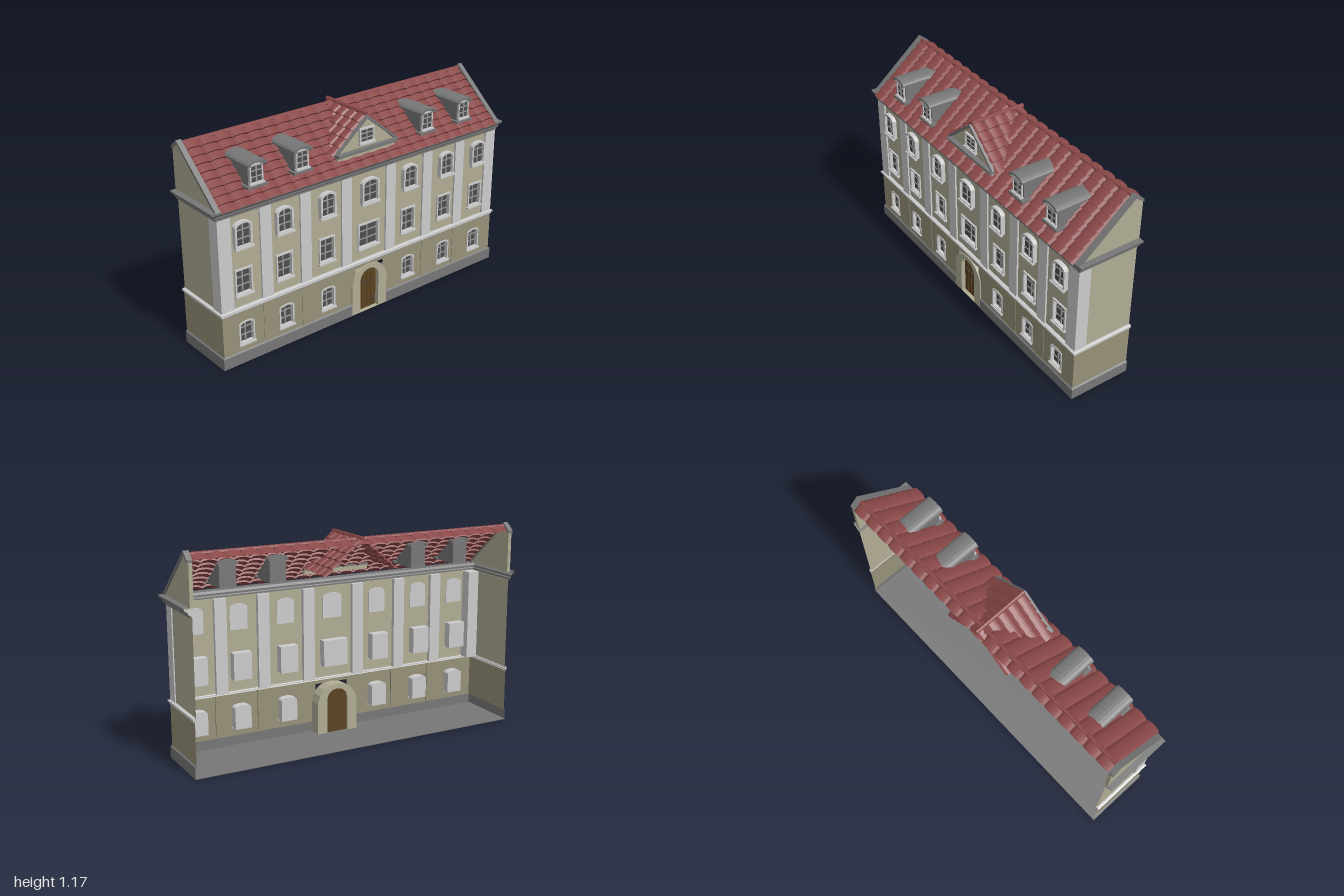
import * as THREE from 'three';

const mat = (color) => new THREE.MeshStandardMaterial({ color, side: THREE.DoubleSide, flatShading: true });
const M = {
  light: mat(0xcccccc), trim: mat(0x777777), dark: mat(0x4c4c4c), bar: mat(0x999999),
  wall: mat(0xb0ac94), base: mat(0x969179), red: mat(0x8a4848), door: mat(0x5c4322),
};
const BACK = -0.195, X = 0.963, Z = 0.163;
const COLS = [-0.82, -0.567, -0.289, 0, 0.289, 0.567, 0.82];
const PIERS = [0.155, 0.428, 0.678];

function add(parent, name, geo, material) {
  const m = new THREE.Mesh(geo, material);
  m.name = name;
  parent.add(m);
  return m;
}

// Box given by its limits
function box(parent, name, x0, x1, y0, y1, z0, z1, material) {
  const g = new THREE.BoxGeometry(x1 - x0, y1 - y0, z1 - z0);
  g.translate((x0 + x1) / 2, (y0 + y1) / 2, (z0 + z1) / 2);
  return add(parent, name, g, material);
}

// Rectangle with a curved head; rise 0 gives a plain rectangle
function arch(x, w, y0, y1, rise, Type = THREE.Shape) {
  const s = new Type(), h = w / 2;
  s.moveTo(x - h, y0);
  s.lineTo(x + h, y0);
  s.lineTo(x + h, y1 - rise);
  if (rise) s.bezierCurveTo(x + h * 0.85, y1 + rise * 0.05, x - h * 0.85, y1 + rise * 0.05, x - h, y1 - rise);
  else s.lineTo(x - h, y1);
  s.closePath();
  return s;
}

function extrude(shape, z0, z1) {
  return new THREE.ExtrudeGeometry(shape, { depth: z1 - z0, bevelEnabled: false, curveSegments: 8 }).translate(0, 0, z0);
}

function ring(x, w, y0, y1, rise, t) {
  const s = arch(x, w, y0, y1, rise);
  s.holes.push(arch(x, w - 2 * t, y0 + t, y1 - t, rise * 0.9, THREE.Path));
  return s;
}

// Profile of [outward, height] points swept round half of the front and one side
function band(parent, name, profile, material, x0 = 0, zScale = 1) {
  for (const s of [1, -1]) {
    const pos = [], idx = [];
    for (const [o, y] of profile) {
      const z = Z + o * zScale;
      pos.push(s * x0, y, z, s * (X + o), y, z, s * (X + o), y, BACK);
    }
    for (let i = 0; i < profile.length - 1; i++) for (let j = 0; j < 2; j++) {
      const a = i * 3 + j, b = a + 1, c = a + 3, d = a + 4;
      if (s > 0) idx.push(a, b, d, a, d, c);
      else idx.push(a, d, b, a, c, d);
    }
    const g = new THREE.BufferGeometry();
    g.setAttribute('position', new THREE.Float32BufferAttribute(pos, 3));
    g.setIndex(idx);
    g.computeVertexNormals();
    add(parent, name, g, material);
  }
}

// Overlapping rows of rounded tiles: across runs sideways, down runs down the slope
function tiles(parent, name, origin, across, down, width, length, cols, rows) {
  const n = cols * 6, pos = [], idx = [];
  for (let r = 0; r < rows; r++) for (let e = 0; e < 2; e++) for (let i = 0; i <= n; i++) {
    const wave = 0.012 * Math.sqrt(Math.abs(Math.sin(Math.PI * i / 6)));
    pos.push((i / n - 0.5) * width, wave + e * 0.011, (r + e) / rows * length);
  }
  for (let r = 0; r < rows * 2 - 1; r++) for (let i = 0; i < n; i++) {
    const a = r * (n + 1) + i, c = a + n + 1;
    idx.push(a, c, a + 1, a + 1, c, c + 1);
  }
  const g = new THREE.BufferGeometry();
  g.setAttribute('position', new THREE.Float32BufferAttribute(pos, 3));
  g.setIndex(idx);
  const A = new THREE.Vector3(...across), D = new THREE.Vector3(...down).normalize();
  const N = new THREE.Vector3().crossVectors(D, A);
  g.applyMatrix4(new THREE.Matrix4().makeBasis(A, N, D).setPosition(...origin));
  g.computeVertexNormals();
  add(parent, name, g, M.red);
}

// Framed window: frame from zIn to zOut, pane set back, glazing bars, sill
function windowUnit(parent, name, x, w, y0, y1, rise, zIn, zOut, zPane, t = 0.009) {
  const g = new THREE.Group();
  g.name = name;
  parent.add(g);
  add(g, 'frame', extrude(ring(x, w, y0, y1, rise, t), zIn, zOut), M.light);
  add(g, 'backPanel', new THREE.ShapeGeometry(arch(x, w, y0, y1, rise)).translate(0, 0, zIn), M.light);
  const iw = w - 2 * t;
  add(g, 'pane', extrude(arch(x, iw, y0 + t, y1 - t, rise * 0.9), zIn + 0.002, zPane), M.dark);
  box(g, 'mullion', x - 0.004, x + 0.004, y0 + t, y1 - t, zPane, zPane + 0.005, M.bar);
  for (const f of [0.33, 0.64]) {
    const y = y0 + (y1 - y0) * f;
    box(g, 'glazingBar', x - iw / 2, x + iw / 2, y - 0.003, y + 0.003, zPane, zPane + 0.004, M.bar);
  }
  box(g, 'sill', x - w / 2 - 0.004, x + w / 2 + 0.004, y0 - 0.005, y0 + 0.005, zOut - 0.01, zOut + 0.008, M.light);
}

function createModel() {
  const model = new THREE.Group();
  model.name = 'townHouse';

  // Floor plate and plinth, broken at the doorway
  box(model, 'floor', -0.97, 0.97, 0, 0.004, BACK, 0.13, M.trim);
  for (const s of [1, -1]) box(model, 'floorEdge', s > 0 ? 0.125 : -0.97, s > 0 ? 0.97 : -0.125, 0, 0.004, 0.13, 0.168, M.trim);
  band(model, 'plinth', [[0.008, 0], [0.008, 0.064], [0, 0.07]], M.trim, 0.125);

  // Ground floor wall with window openings and door notch
  const lower = new THREE.Shape([[-X, 0.06], [-0.1, 0.06], [-0.1, 0.28], [0.1, 0.28], [0.1, 0.06], [X, 0.06], [X, 0.3], [-X, 0.3]]
    .map(p => new THREE.Vector2(...p)));
  const upper = arch(0, 2 * X, 0.32, 0.845, 0);
  for (const x of COLS) {
    const mid = x === 0;
    if (!mid) {
      lower.holes.push(arch(x, 0.088, 0.112, 0.243, 0.02, THREE.Path));
      windowUnit(model, 'groundWindow', x, 0.095, 0.108, 0.247, 0.02, 0.115, 0.167, 0.145);
    }
    const w = mid ? 0.15 : 0.105;
    upper.holes.push(arch(x, w - 0.006, 0.393, 0.537, 0, THREE.Path));
    windowUnit(model, 'middleWindow', x, w, 0.39, 0.54, 0, 0.105, 0.162, 0.14);
    windowUnit(model, 'topWindow', x, mid ? 0.118 : 0.103, 0.66, 0.81, 0.03, 0.149, 0.178, 0.162, 0.011);
  }
  add(model, 'groundFrontWall', new THREE.ShapeGeometry(lower).translate(0, 0, Z), M.base);
  add(model, 'upperFrontWall', new THREE.ShapeGeometry(upper).translate(0, 0, 0.153), M.wall);

  // Side walls, corner pilasters and pilasters between the bays
  for (const s of [1, -1]) {
    const side = (name, y0, y1, z1, x, m) => {
      const g = new THREE.PlaneGeometry(z1 - BACK, y1 - y0).rotateY(s * Math.PI / 2);
      add(model, name, g.translate(s * x, (y0 + y1) / 2, (z1 + BACK) / 2), m);
    };
    side('groundSideWall', 0.06, 0.3, Z, X, M.base);
    side('upperSideWall', 0.32, 0.845, 0.155, 0.957, M.wall);
    const span = (name, a, b, y0, y1, z0, z1, m) => box(model, name, s > 0 ? a : -b, s > 0 ? b : -a, y0, y1, z0, z1, m);
    span('cornerPilaster', 0.887, X, 0.32, 0.842, 0.09, Z, M.light);
    for (const p of PIERS) {
      span('pilaster', p - 0.034, p + 0.034, 0.32, 0.842, 0.13, Z, M.light);
      if (p > 0.2) span('groundPanelStrip', p - 0.034, p + 0.034, 0.07, 0.3, 0.155, Z + 0.003, M.base);
    }
  }

  // String course and main cornice
  band(model, 'stringCourse', [[0, 0.297], [0.004, 0.302], [0.004, 0.309], [0.011, 0.313], [0.011, 0.322], [0, 0.326], [-0.012, 0.326]], M.light);
  band(model, 'mainCornice', [[-0.01, 0.838], [0.006, 0.84], [0.006, 0.85], [0.015, 0.855], [0.015, 0.866], [0.034, 0.878],
    [0.037, 0.89], [-0.02, 0.892]], M.trim, 0, 0.5);

  // Arched doorway
  const surround = arch(0, 0.25, 0, 0.315, 0.13);
  surround.holes.push(arch(0, 0.13, 0.001, 0.275, 0.07, THREE.Path));
  add(model, 'doorSurround', extrude(surround, 0.09, 0.17), M.wall);
  add(model, 'door', extrude(arch(0, 0.134, 0, 0.277, 0.07), 0.1, 0.145), M.door);
  for (const x of [-0.033, 0, 0.033]) box(model, 'doorBatten', x - 0.003, x + 0.003, 0.004, 0.25, 0.145, 0.149, M.door);
  for (const x of [-0.04, -0.015, 0.015, 0.04]) box(model, 'doorStud', x - 0.004, x + 0.004, 0.165, 0.173, 0.145, 0.153, M.dark);
  box(model, 'doorHandle', 0.036, 0.044, 0.03, 0.07, 0.145, 0.155, M.dark);

  // Main roof: front slope, cut-off back slope and ridge
  tiles(model, 'mainRoof', [0, 1.143, -0.145], [1, 0, 0], [0, -0.268, 0.33], 1.89, 0.425, 21, 9);
  tiles(model, 'backRoof', [0, 1.143, -0.145], [-1, 0, 0], [0, -0.04, -0.05], 1.89, 0.055, 21, 1);
  add(model, 'ridge', new THREE.CylinderGeometry(0.012, 0.012, 1.89, 8).rotateZ(Math.PI / 2).translate(0, 1.145, -0.145), M.red);

  // End gables with copings
  const yz = (pts, x0, x1) => {
    const s = new THREE.Shape(pts.map(([z, y]) => new THREE.Vector2(-z, y)));
    return extrude(s, x0, x1).rotateY(Math.PI / 2);
  };
  for (const s of [1, -1]) {
    const a = s > 0 ? 0.947 : -0.967, b = s > 0 ? 0.945 : -0.975;
    add(model, 'gableWall', yz([[0.172, 0.888], [-0.145, 1.152], [BACK, 1.112], [BACK, 0.888]], a, a + 0.02), M.wall);
    add(model, 'gableCoping', yz([[0.182, 0.888], [-0.145, 1.166], [BACK, 1.125], [BACK, 1.108], [-0.145, 1.148], [0.16, 0.888]], b, b + 0.03), M.trim);
  }

  // Central pediment with its own tiled roof
  const pediment = new THREE.Group();
  pediment.name = 'pediment';
  model.add(pediment);
  const tri = (h, y0, y1) => new THREE.Shape([new THREE.Vector2(-h, y0), new THREE.Vector2(h, y0), new THREE.Vector2(0, y1)]);
  add(pediment, 'pedimentWall', extrude(tri(0.2, 0.965, 1.142), 0.11, 0.13), M.wall);
  box(pediment, 'pedimentBase', -0.195, 0.195, 0.93, 0.955, 0.1, 0.138, M.wall);
  box(pediment, 'pedimentCornice', -0.2, 0.2, 0.952, 0.962, 0.1, 0.15, M.trim);
  box(pediment, 'pedimentCorniceTop', -0.205, 0.205, 0.962, 0.972, 0.1, 0.157, M.trim);
  windowUnit(pediment, 'pedimentWindow', 0, 0.1, 0.995, 1.08, 0, 0.12, 0.142, 0.134);
  for (const s of [1, -1]) {
    const rake = new THREE.Shape([[0, 1.132], [s * 0.2, 0.97], [s * 0.212, 0.975], [0, 1.15]].map(p => new THREE.Vector2(...p)));
    add(pediment, 'rakeTrim', extrude(rake, 0.1, 0.145), M.trim);
    tiles(pediment, 'pedimentRoof', [0, 1.146, -0.03], [0, 0, -s], [s * 0.215, -0.185, 0], 0.325, 0.284, 5, 5);
  }
  add(pediment, 'pedimentRidge', new THREE.CylinderGeometry(0.012, 0.012, 0.325, 8).rotateX(Math.PI / 2).translate(0, 1.153, -0.03), M.red);

  // Roof dormers with curved tops
  for (const x of [-0.71, -0.43, 0.43, 0.71]) {
    const d = new THREE.Group();
    d.name = 'dormer';
    model.add(d);
    add(d, 'dormerBody', extrude(arch(x, 0.092, 0.94, 1.083, 0.022), -0.06, 0.138), M.trim);
    const cap = arch(x, 0.114, 1.06, 1.094, 0.026);
    cap.holes.push(arch(x, 0.09, 1.0605, 1.082, 0.02, THREE.Path));
    add(d, 'dormerRoof', extrude(cap, -0.07, 0.158), M.trim);
    windowUnit(d, 'dormerWindow', x, 0.078, 0.965, 1.07, 0.018, 0.125, 0.147, 0.141, 0.007);
    box(d, 'dormerSill', x - 0.06, x + 0.06, 0.945, 0.958, 0.09, 0.157, M.trim);
  }
  return model;
}

export { createModel };
